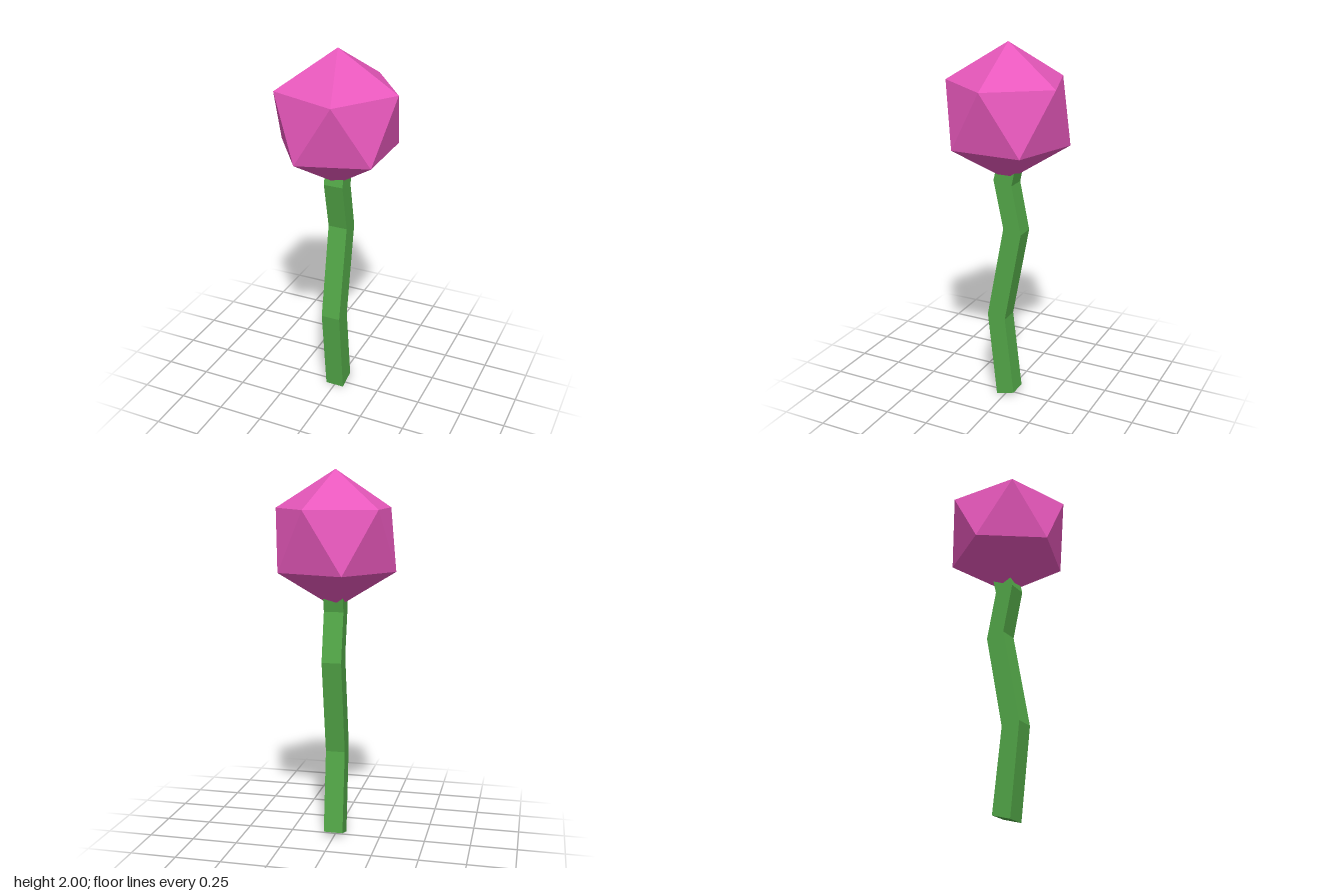
import * as THREE from 'three';
import { ConvexGeometry } from 'three/addons/geometries/ConvexGeometry.js';

// Icosahedron standing on a corner: two poles and two staggered rings of five
function makeBloom(radius) {
  const points = [new THREE.Vector3(0, radius, 0), new THREE.Vector3(0, -radius, 0)];
  const ringY = radius / Math.sqrt(5);
  for (let i = 0; i < 5; i++) {
    const a = (i / 5) * Math.PI * 2;
    const p = new THREE.Vector3(Math.cos(a) * ringY * 2, ringY, Math.sin(a) * ringY * 2);
    points.push(p, p.clone().negate());
  }
  return new ConvexGeometry(points);
}

// Square stem bent front to back: each row is [front z, front y, back z, back y]
function makeStem(rows, width) {
  const geometry = new THREE.BoxGeometry(width, 1, 1, 1, rows.length - 1, 1);
  const pos = geometry.attributes.position;
  for (let i = 0; i < pos.count; i++) {
    const row = rows[Math.round((pos.getY(i) + 0.5) * (rows.length - 1))];
    const k = pos.getZ(i) > 0 ? 0 : 2;
    pos.setZ(i, row[k]);
    pos.setY(i, row[k + 1]);
  }
  geometry.computeVertexNormals();
  return geometry;
}

export function createModel() {
  const group = new THREE.Group();

  const bloom = new THREE.Mesh(
    makeBloom(0.3625),
    new THREE.MeshStandardMaterial({ color: 0xe858bc, flatShading: true })
  );
  bloom.name = 'bloom';
  bloom.position.y = 1.6375;

  const stem = new THREE.Mesh(
    makeStem([
      [0.045, 0, -0.06, 0.03],
      [0.1, 0.495, -0.005, 0.48],
      [0.003, 1.015, -0.1, 0.995],
      [0.06, 1.28, -0.045, 1.26],
      [0.01, 1.5, -0.092, 1.48],
    ], 0.106),
    new THREE.MeshStandardMaterial({ color: 0x53a848, flatShading: true })
  );
  stem.name = 'stem';

  group.add(bloom, stem);
  return group;
}
